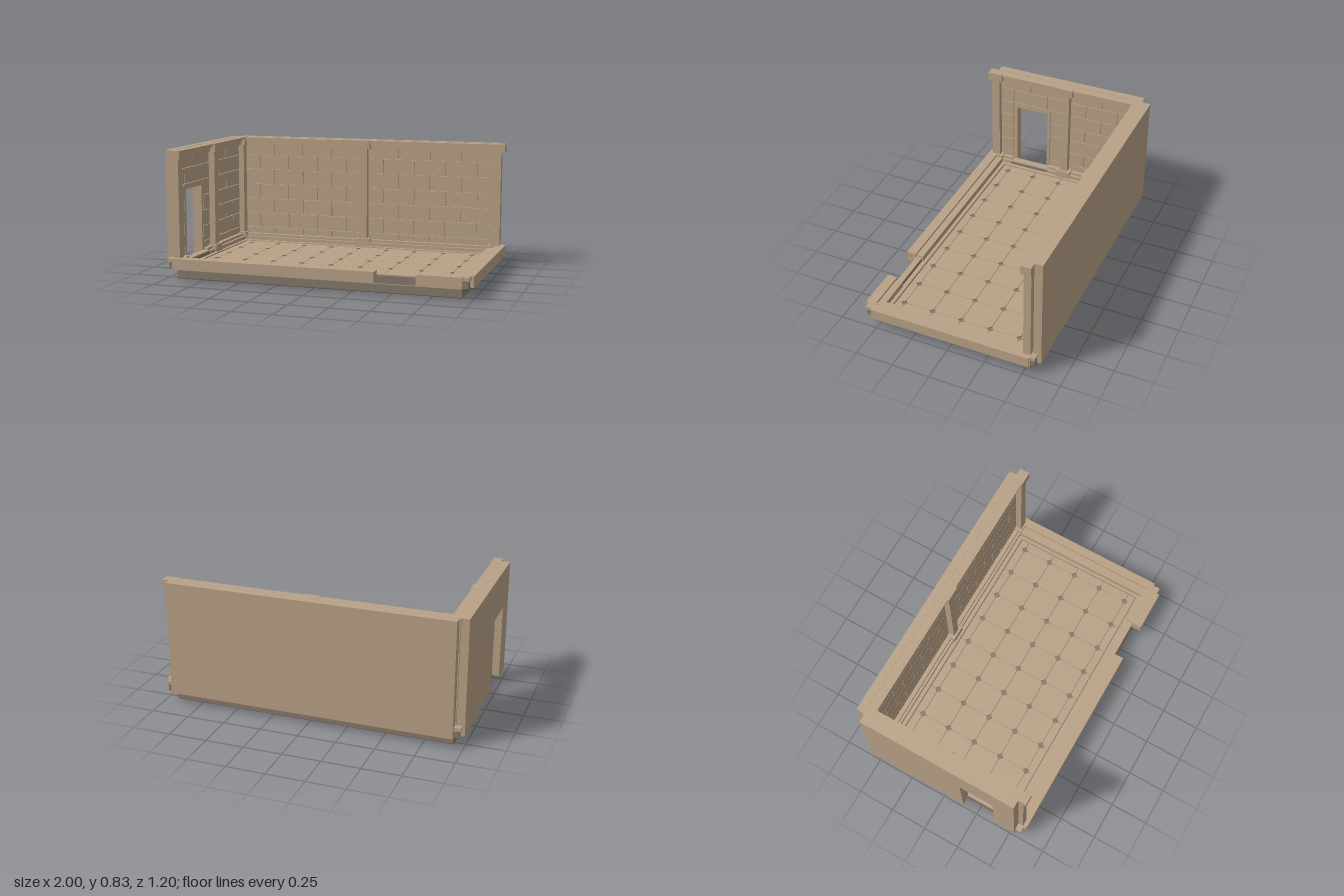
import * as THREE from 'three';
import { RoundedBoxGeometry } from 'three/addons/geometries/RoundedBoxGeometry.js';

export function createModel() {
  const stone = new THREE.MeshStandardMaterial({ color: 0xb8a186 });
  stone.name = 'sandstone';
  const dark = new THREE.MeshStandardMaterial({ color: 0x87786a });
  dark.name = 'dark stone';

  const root = new THREE.Group();
  root.name = 'roomTile';
  const group = (name) => {
    const g = new THREE.Group();
    g.name = name;
    root.add(g);
    return g;
  };
  // box given by its bounds
  const box = (parent, name, x0, x1, y0, y1, z0, z1, mat = stone) => {
    const m = new THREE.Mesh(new THREE.BoxGeometry(x1 - x0, y1 - y0, z1 - z0), mat);
    m.position.set((x0 + x1) / 2, (y0 + y1) / 2, (z0 + z1) / 2);
    m.name = name;
    parent.add(m);
  };

  // base: bevelled plinth and thin floor slab
  const base = group('base');
  const plinth = new THREE.Mesh(new RoundedBoxGeometry(1.87, 0.06, 1.07, 1, 0.007), dark);
  plinth.position.y = 0.03;
  plinth.name = 'plinth';
  base.add(plinth);
  box(base, 'slab', -0.935, 0.935, 0.055, 0.072, -0.53, 0.53, dark);

  // floor: tiles whose corners are cut where four of them meet
  const floor = group('floor');
  const xs = [-0.86], zs = [-0.455];
  for (let i = -4; i <= 4; i++) xs.push(i * 0.2);
  for (let i = -2; i <= 2; i++) zs.push(i * 0.2);
  xs.push(0.86);
  zs.push(0.455);
  const gap = 0.0015, cut = 0.022;
  for (let i = 0; i < xs.length - 1; i++) {
    for (let j = 0; j < zs.length - 1; j++) {
      const a = xs[i] + gap, b = xs[i + 1] - gap, c = zs[j] + gap, d = zs[j + 1] - gap;
      const l = i > 0, r = i < xs.length - 2, n = j > 0, f = j < zs.length - 2;
      const pts = [];
      const corner = (x, z, sx, sz, chamfer, xFirst) => {
        if (!chamfer) return pts.push(new THREE.Vector2(x, z));
        const p = new THREE.Vector2(x + sx * cut, z), q = new THREE.Vector2(x, z + sz * cut);
        pts.push(...(xFirst ? [p, q] : [q, p]));
      };
      corner(a, c, 1, 1, l && n, false);
      corner(b, c, -1, 1, r && n, true);
      corner(b, d, -1, -1, r && f, false);
      corner(a, d, 1, -1, l && f, true);
      const geo = new THREE.ExtrudeGeometry(new THREE.Shape(pts), { depth: 0.012, bevelEnabled: false });
      const tile = new THREE.Mesh(geo, stone);
      tile.rotation.x = -Math.PI / 2;
      tile.position.y = 0.071;
      tile.name = 'floorTile';
      floor.add(tile);
    }
  }
  // border strips round the tiles, and the two sills
  for (const s of [-1, 1]) {
    const [x0, x1] = s < 0 ? [-0.89, -0.865] : [0.865, 0.89];
    const [z0, z1] = s < 0 ? [-0.49, -0.46] : [0.46, 0.49];
    box(floor, 'sideBorder', x0, x1, 0.071, 0.088, -0.49, 0.49);
    box(floor, 'endBorder', -0.865, 0.865, 0.071, 0.088, z0, z1);
  }
  box(floor, 'frontSillEdge', 0.39, 0.67, 0.07, 0.108, 0.49, 0.53, dark);
  box(floor, 'frontSill', 0.39, 0.67, 0.108, 0.116, 0.49, 0.53);
  box(floor, 'doorSillEdge', -0.94, -0.89, 0.07, 0.108, 0.13, 0.41, dark);
  box(floor, 'doorSill', -0.94, -0.89, 0.108, 0.116, 0.13, 0.41);

  // low curbs on the front and the left side, the front one with an opening
  const curbs = group('curbs');
  box(curbs, 'frontCurb', -0.94, 0.4, 0.07, 0.14, 0.53, 0.595);
  box(curbs, 'frontCurb', 0.66, 0.94, 0.07, 0.14, 0.53, 0.595);
  box(curbs, 'frontCurbInner', -0.883, 0.39, 0.07, 0.126, 0.483, 0.53);
  box(curbs, 'frontCurbInner', 0.67, 0.94, 0.07, 0.126, 0.483, 0.53);
  box(curbs, 'sideCurb', 0.94, 1, 0.07, 0.14, -0.54, 0.53);
  box(curbs, 'sideCurbInner', 0.883, 0.94, 0.07, 0.126, -0.54, 0.483);

  // corner pegs with caps
  const pegs = group('cornerPegs');
  for (const sx of [-1, 1]) for (const sz of [-1, 1]) {
    const px = sx * 0.953, pz = sz * 0.548;
    box(pegs, 'peg', px - 0.022, px + 0.022, 0.07, 0.115, pz - 0.024, pz + 0.024, dark);
    box(pegs, 'pegCap', px - 0.03, px + 0.03, 0.115, 0.138, pz - 0.028, pz + 0.028);
  }

  // bricks run along u; put(u0, u1, y0, y1) places one, hole clips the lower rows
  const rows = [0.785, 0.7, 0.597, 0.49, 0.386, 0.28, 0.175, 0.075];
  const bricks = (u0, u1, put, hole) => {
    const n = Math.round((u1 - u0) / 0.215), w = (u1 - u0) / n, g = 0.002;
    for (let r = 0; r < rows.length - 1; r++) {
      const y1 = rows[r] - g, y0 = rows[r + 1] + g;
      for (let k = 0; k <= n; k++) {
        const start = u0 + (k - (r % 2 ? 0.5 : 0)) * w;
        const a = Math.max(u0, start) + g, b = Math.min(u1, start + w) - g;
        const spans = hole && r > 1 ? [[a, Math.min(b, hole[0])], [Math.max(a, hole[1]), b]] : [[a, b]];
        for (const [p, q] of spans) if (q - p > 0.012) put(p, q, y0, y1);
      }
    }
  };
  // stepped mouldings: bottom, top and how far each step stands out from the wall
  const cornice = [[0.775, 0.8, 0.03], [0.8, 0.818, 0.042], [0.818, 0.828, 0.055]];
  const skirting = [[0.07, 0.112, 0.053], [0.112, 0.13, 0.035]];
  const mouldings = [...cornice, ...skirting];

  // back wall
  const back = group('backWall');
  box(back, 'panel', -0.94, 0.94, 0.07, 0.83, -0.6, -0.547);
  for (const [y0, y1, out] of mouldings) box(back, 'moulding', -0.94, 0.94, y0, y1, -0.547, -0.54 + out);
  const backBrick = (a, b, y0, y1) => box(back, 'brick', a, b, y0, y1, -0.548, -0.534);
  bricks(-0.895, -0.025, backBrick);
  bricks(0.025, 0.91, backBrick);

  // side wall with a doorway
  const side = group('doorWall');
  const d0 = 0.15, d1 = 0.385, top = 0.56;
  for (const [z0, z1] of [[-0.54, d0], [d1, 0.535]]) box(side, 'panel', -1, -0.947, 0.07, 0.83, z0, z1);
  for (const [y0, y1, out] of cornice) box(side, 'cornice', -0.947, -0.94 + out, y0, y1, -0.54, 0.53);
  for (const [y0, y1, out] of skirting) {
    box(side, 'skirting', -0.947, -0.94 + out, y0, y1, -0.54, d0 - 0.02);
    box(side, 'skirting', -0.947, -0.94 + out, y0, y1, d1 + 0.025, 0.53);
  }
  box(side, 'lintel', -1, -0.947, top, 0.83, d0, d1);
  box(side, 'doorFrame', -0.948, -0.934, 0.1, 0.595, d0 - 0.022, d0);
  box(side, 'doorFrame', -0.948, -0.934, 0.1, 0.595, d1, d1 + 0.028);
  box(side, 'doorFrameTop', -0.948, -0.934, top, 0.595, d0, d1);
  const sideBrick = (a, b, y0, y1) => box(side, 'brick', -0.948, -0.934, y0, y1, a, b);
  bricks(0.025, 0.535, sideBrick, [d0 - 0.026, d1 + 0.032]);
  bricks(-0.49, -0.025, sideBrick);

  // pillars with foot and capital
  const pillars = group('pillars');
  const pillar = (x0, x1, z0, z1, cx0, cx1, cz0, cz1) => {
    box(pillars, 'shaft', x0, x1, 0.1, 0.8, z0, z1);
    box(pillars, 'foot', cx0, cx1, 0.072, 0.139, cz0, cz1);
    box(pillars, 'capital', cx0, cx1, 0.772, 0.8295, cz0, cz1);
  };
  pillar(-0.028, 0.028, -0.547, -0.492, -0.052, 0.052, -0.547, -0.476);
  pillar(-0.947, -0.892, -0.028, 0.028, -0.947, -0.876, -0.052, 0.052);
  pillar(-0.945, -0.897, -0.545, -0.492, -0.952, -0.88, -0.552, -0.477);
  pillar(0.905, 0.965, -0.54, -0.492, 0.885, 0.99, -0.548, -0.48);
  pillar(-0.94, -0.897, 0.51, 0.568, -0.945, -0.88, 0.485, 0.588);

  return root;
}
